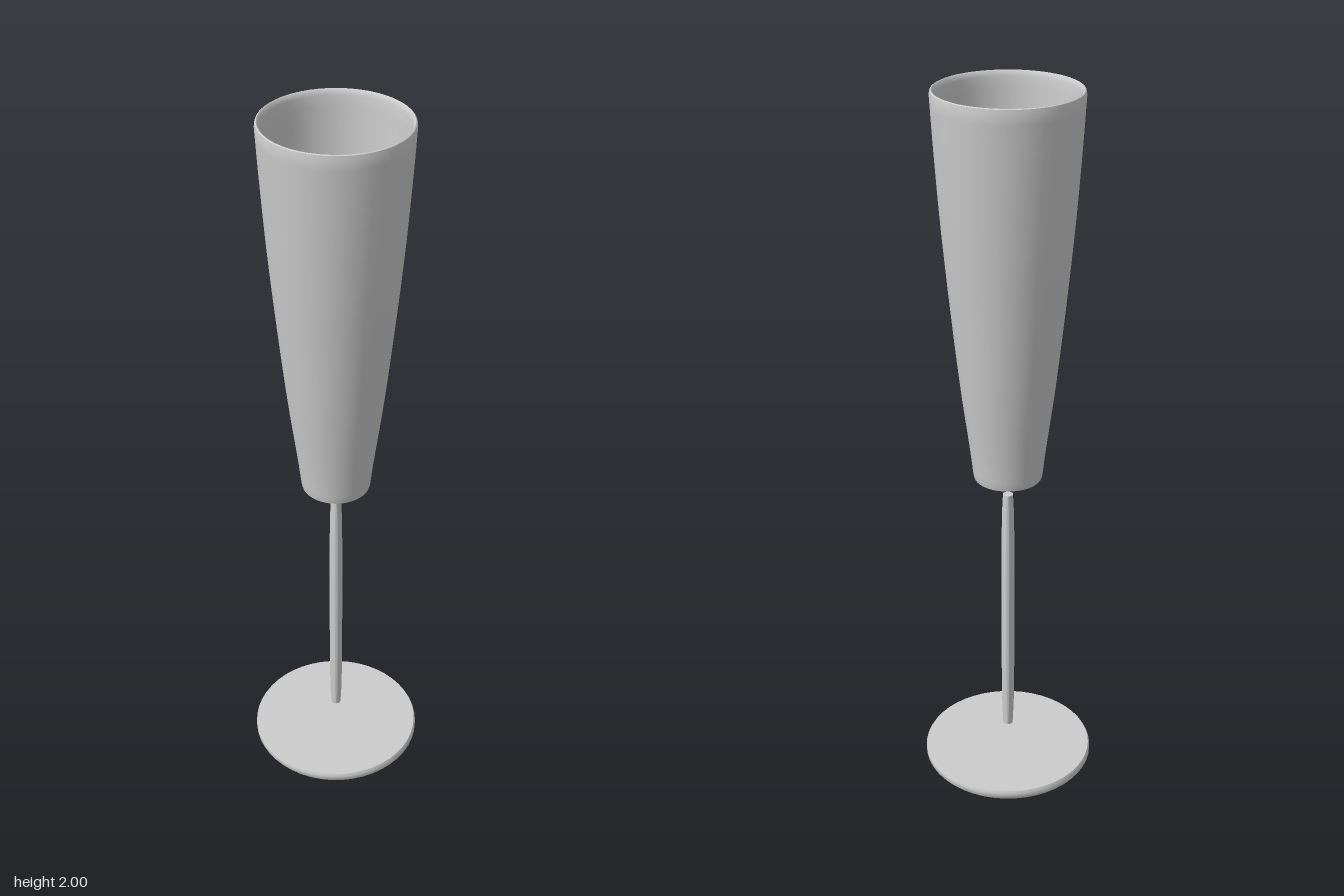
import * as THREE from 'three';
import { toCreasedNormals } from 'three/addons/utils/BufferGeometryUtils.js';

const SEGMENTS = 48;
const material = new THREE.MeshStandardMaterial({ color: 0xcccccc });

// Turned part from [radius, height] pairs, listed bottom to top along the outside
function turned(name, profile) {
  const points = profile.map(([r, y]) => new THREE.Vector2(r, y));
  const geometry = toCreasedNormals(new THREE.LatheGeometry(points, SEGMENTS), 0.7);
  const mesh = new THREE.Mesh(geometry, material);
  mesh.name = name;
  return mesh;
}

// Smooth curve through a few profile points
function smooth(profile, divisions) {
  const curve = new THREE.SplineCurve(profile.map(([r, y]) => new THREE.Vector2(r, y)));
  return curve.getPoints(divisions).map((p) => [p.x, p.y]);
}

export function createModel() {
  const group = new THREE.Group();
  group.name = 'fluteGlass';

  // Flat round foot
  group.add(turned('foot', [
    [0, 0], [0.241, 0], [0.245, 0.006], [0.245, 0.02], [0.241, 0.027], [0, 0.027],
  ]));

  // Slender stem, narrowed slightly at both ends
  group.add(turned('stem', [
    [0, 0.093], [0.014, 0.093], [0.017, 0.16], [0.0185, 0.3], [0.0185, 0.67],
    [0.017, 0.81], [0.014, 0.873], [0, 0.873],
  ]));

  // Tall bowl: outer wall, rounded rim, inner wall and floor
  const outer = smooth([
    [0.095, 0.94], [0.104, 1.02], [0.127, 1.2], [0.15, 1.42], [0.171, 1.65], [0.185, 1.85], [0.193, 1.99],
  ], 20);
  const inner = smooth([
    [0.181, 1.985], [0.173, 1.85], [0.159, 1.65], [0.138, 1.42], [0.114, 1.2], [0.091, 1.02], [0.083, 0.962],
  ], 20);
  group.add(turned('bowl', [
    [0, 0.93], [0.088, 0.93], [0.093, 0.932], ...outer,
    [0.191, 1.998], [0.188, 2], [0.184, 1.997], ...inner,
    [0.078, 0.955], [0.019, 0.955], [0.019, 0.957], [0, 0.957],
  ]));

  return group;
}
